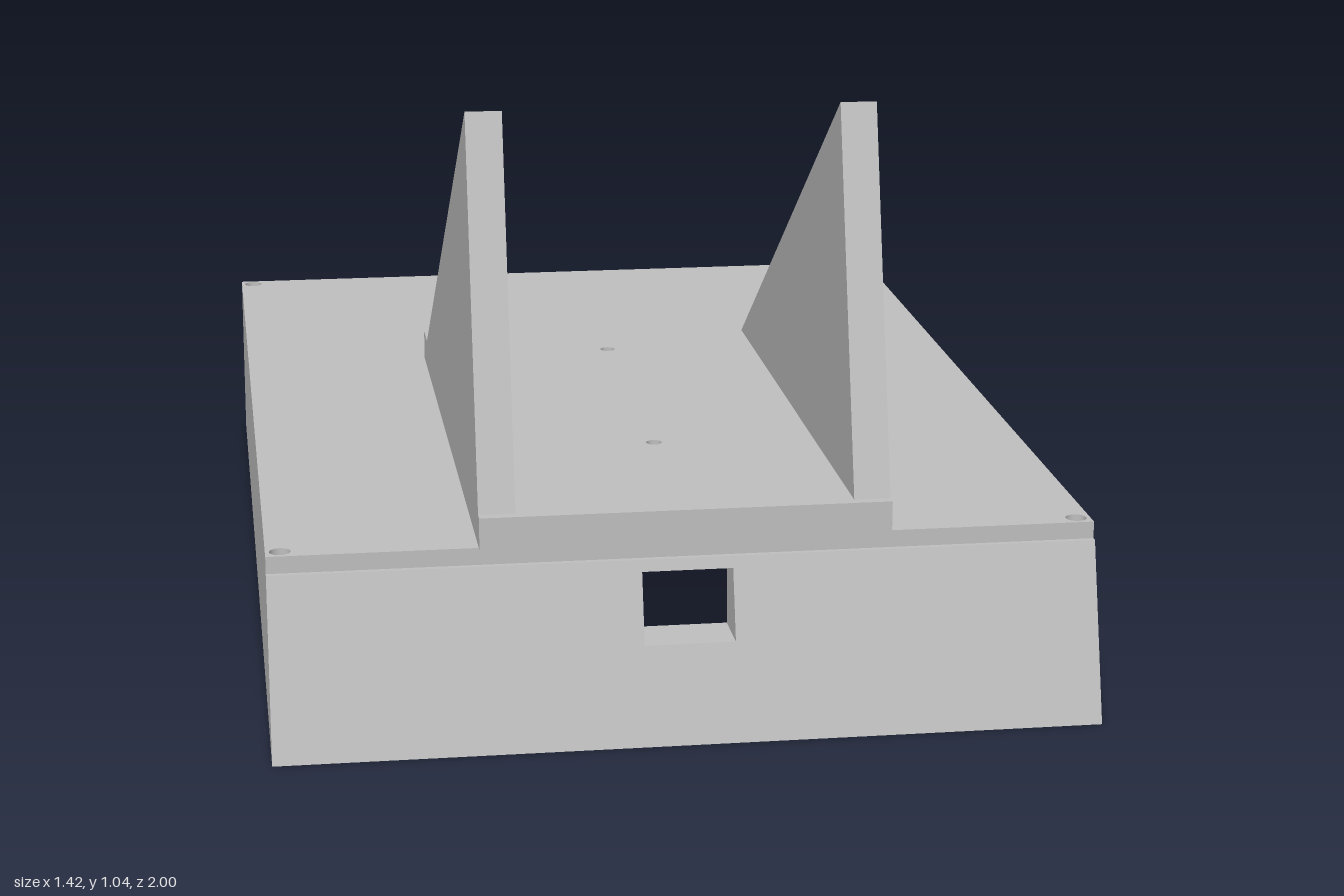
import * as THREE from 'three';

const LID_Y = 0.305, TOP_Y = 0.335, PLATE_Y = 0.39;
const HX = 0.71, INNER_X = 0.66, BACK = -1, INNER_BACK = -0.95, INNER_FRONT = 0.86;

export function createModel() {
  const model = new THREE.Group();
  const grey = new THREE.MeshStandardMaterial({ color: 0xc0c0c0 });
  grey.name = 'plain grey';

  const add = (name, geometry) => {
    const mesh = new THREE.Mesh(geometry, grey);
    mesh.name = name;
    model.add(mesh);
  };

  const box = (name, x0, x1, y0, y1, z0, z1) => {
    const g = new THREE.BoxGeometry(x1 - x0, y1 - y0, z1 - z0);
    add(name, g.translate((x0 + x1) / 2, (y0 + y1) / 2, (z0 + z1) / 2));
  };

  // Side profile of [z, y] points, extruded from x0 to x1
  const profile = (name, points, x0, x1) => {
    const shape = new THREE.Shape(points.map(([z, y]) => new THREE.Vector2(z, y)));
    const g = new THREE.ExtrudeGeometry(shape, { depth: x1 - x0, bevelEnabled: false });
    add(name, g.rotateY(-Math.PI / 2).translate(x1, 0, 0));
  };

  // Plan outline extruded upward from y0 to y1
  const slab = (name, shape, y0, y1) => {
    const g = new THREE.ExtrudeGeometry(shape, { depth: y1 - y0, bevelEnabled: false, curveSegments: 20 });
    add(name, g.rotateX(-Math.PI / 2).translate(0, y0, 0));
  };
  const rect = (x, z0, z1) => new THREE.Shape([[-x, -z1], [x, -z1], [x, -z0], [-x, -z0]]
    .map(([a, b]) => new THREE.Vector2(a, b)));
  const drill = (shape, x, z, r) =>
    shape.holes.push(new THREE.Path().absarc(x, -z, r, 0, Math.PI * 2, true));

  // Sloping outer face of the front
  const frontZ = y => 1 - 0.279 * y;
  const frontWall = (name, x0, x1, y0, y1) => profile(name,
    [[INNER_FRONT, y0], [frontZ(y0), y0], [frontZ(y1), y1], [INNER_FRONT, y1]], x0, x1);

  // Front wall around the connector window
  const W = 0.078, W0 = 0.165, W1 = 0.285;
  frontWall('frontWallBelowWindow', -W, W, 0, W0);
  frontWall('frontWallAboveWindow', -W, W, W1, LID_Y);
  frontWall('frontWallRight', -INNER_X, -W, 0, LID_Y);
  frontWall('frontWallLeft', W, INNER_X, 0, LID_Y);

  // Side and back walls
  const side = [[BACK, 0], [1, 0], [frontZ(LID_Y), LID_Y], [BACK, LID_Y]];
  profile('leftWall', side, INNER_X, HX);
  profile('rightWall', side, -HX, -INNER_X);
  box('backWall', -INNER_X, INNER_X, 0, LID_Y, BACK, INNER_BACK);

  // Inward lip around the bottom opening
  const lip = rect(INNER_X, INNER_BACK, INNER_FRONT);
  lip.holes.push(rect(0.58, -0.82, 0.73));
  slab('bottomLip', lip, 0, 0.035);

  // Lid with corner screw holes and two mounting holes
  const lid = rect(HX, BACK, 0.905);
  for (const x of [-0.685, 0.685]) for (const z of [-0.975, 0.88]) drill(lid, x, z, 0.018);
  const plate = rect(0.353, -0.31, 0.915);
  for (const z of [-0.125, 0.52]) {
    drill(lid, 0, z, 0.014);
    drill(plate, 0, z, 0.014);
  }
  slab('lid', lid, LID_Y, TOP_Y);
  slab('bracketPlate', plate, TOP_Y, PLATE_Y);

  // Triangular bracket arms
  const arm = [[-0.235, PLATE_Y], [0.897, PLATE_Y], [0.723, 1.045]];
  profile('leftBracketArm', arm, 0.29, 0.353);
  profile('rightBracketArm', arm, -0.353, -0.29);

  // Posts along the inner side walls
  for (const z of [-0.385, 0.32]) {
    box('leftPost', 0.58, INNER_X, 0.08, LID_Y, z - 0.035, z + 0.035);
    box('rightPost', -INNER_X, -0.58, 0.08, LID_Y, z - 0.035, z + 0.035);
  }

  // Hollow standoffs hanging under the lid
  for (const x of [-0.075, 0.075]) for (const z of [0.19, 0.8]) {
    const ring = new THREE.Shape().absarc(x, -z, 0.031, 0, Math.PI * 2, false);
    drill(ring, x, z, 0.013);
    slab('standoff', ring, 0.255, LID_Y);
  }

  return model;
}
